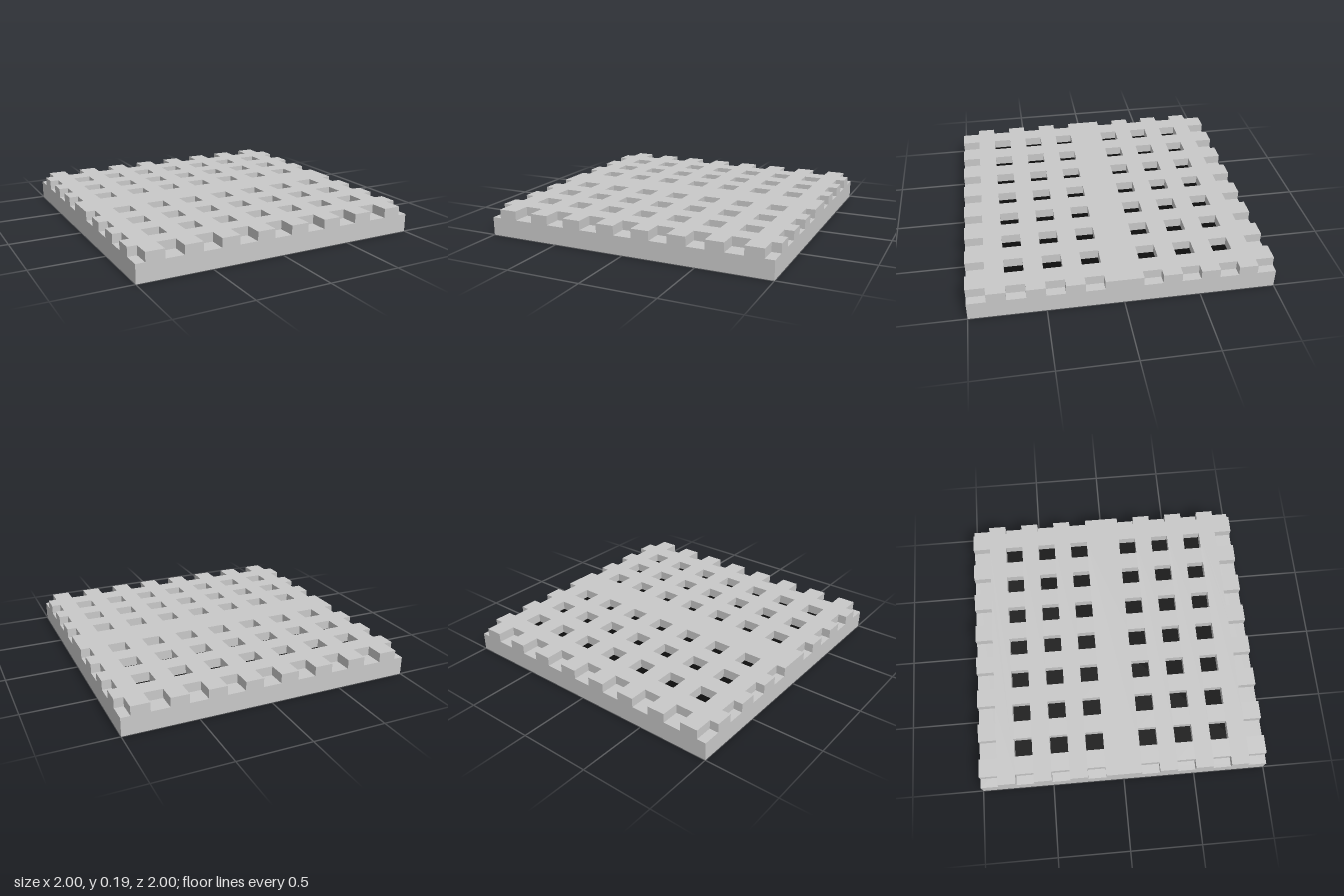
import * as THREE from 'three';

const HOLE = 0.125;      // side of each square opening
const BASE = 0.125;      // height of the frame below the lattice
const TOP = 0.0625;      // thickness of the lattice

const grey = new THREE.MeshStandardMaterial({ color: 0xc8c8c8 });
grey.name = 'light grey';
const black = new THREE.MeshStandardMaterial({ color: 0x0d0d0d });
black.name = 'black';

function squarePoints(cx, cy, half) {
  return [[-1, -1], [1, -1], [1, 1], [-1, 1]].map(
    ([x, y]) => new THREE.Vector2(cx + x * half, cy + y * half));
}

// Extrude a flat plan upward from the given height
function slab(name, shape, y, height) {
  const geometry = new THREE.ExtrudeGeometry(shape, { depth: height, bevelEnabled: false });
  geometry.rotateX(-Math.PI / 2);
  geometry.translate(0, y, 0);
  const mesh = new THREE.Mesh(geometry, grey);
  mesh.name = name;
  return mesh;
}

// Notched outline: one quarter, then mirrored around
function notchedOutline() {
  const q = [];
  for (const z of [0.125, 0.375, 0.625]) {
    q.push([1, z], [0.9375, z], [0.9375, z + HOLE], [1, z + HOLE]);
  }
  q.push([1, 0.875], [0.9375, 0.875], [0.9375, 1]);
  for (const x of [0.75, 0.5, 0.25]) {
    const a = x + HOLE / 2, b = x - HOLE / 2;
    q.push([a, 1], [a, 0.875], [b, 0.875], [b, 1]);
  }
  q.push([HOLE / 2, 1], [HOLE / 2, 0.875]);
  const back = [...q].reverse();
  return [
    ...q,
    ...back.map(([x, y]) => [-x, y]),
    ...q.map(([x, y]) => [-x, -y]),
    ...back.map(([x, y]) => [x, -y]),
  ].map(([x, y]) => new THREE.Vector2(x, y));
}

export function createModel() {
  const model = new THREE.Group();
  model.name = 'gratingTile';

  // Square rim
  const rim = new THREE.Shape(squarePoints(0, 0, 1));
  rim.holes.push(new THREE.Path(squarePoints(0, 0, 0.875)));
  model.add(slab('frame', rim, 0, BASE));

  // Lattice with rows of square openings and a solid middle bar
  const lattice = new THREE.Shape(notchedOutline());
  for (const z of [0.1875, 0.4375, 0.6875]) {
    for (const side of [-1, 1]) {
      for (let i = -3; i <= 3; i++) {
        lattice.holes.push(new THREE.Path(squarePoints(i * 0.25, side * z, HOLE / 2)));
      }
    }
  }
  model.add(slab('lattice', lattice, BASE, TOP));

  // Dark core filling the frame
  const core = new THREE.Mesh(new THREE.BoxGeometry(1.75, BASE, 1.75), black);
  core.name = 'darkCore';
  core.position.y = BASE / 2;
  model.add(core);

  return model;
}
